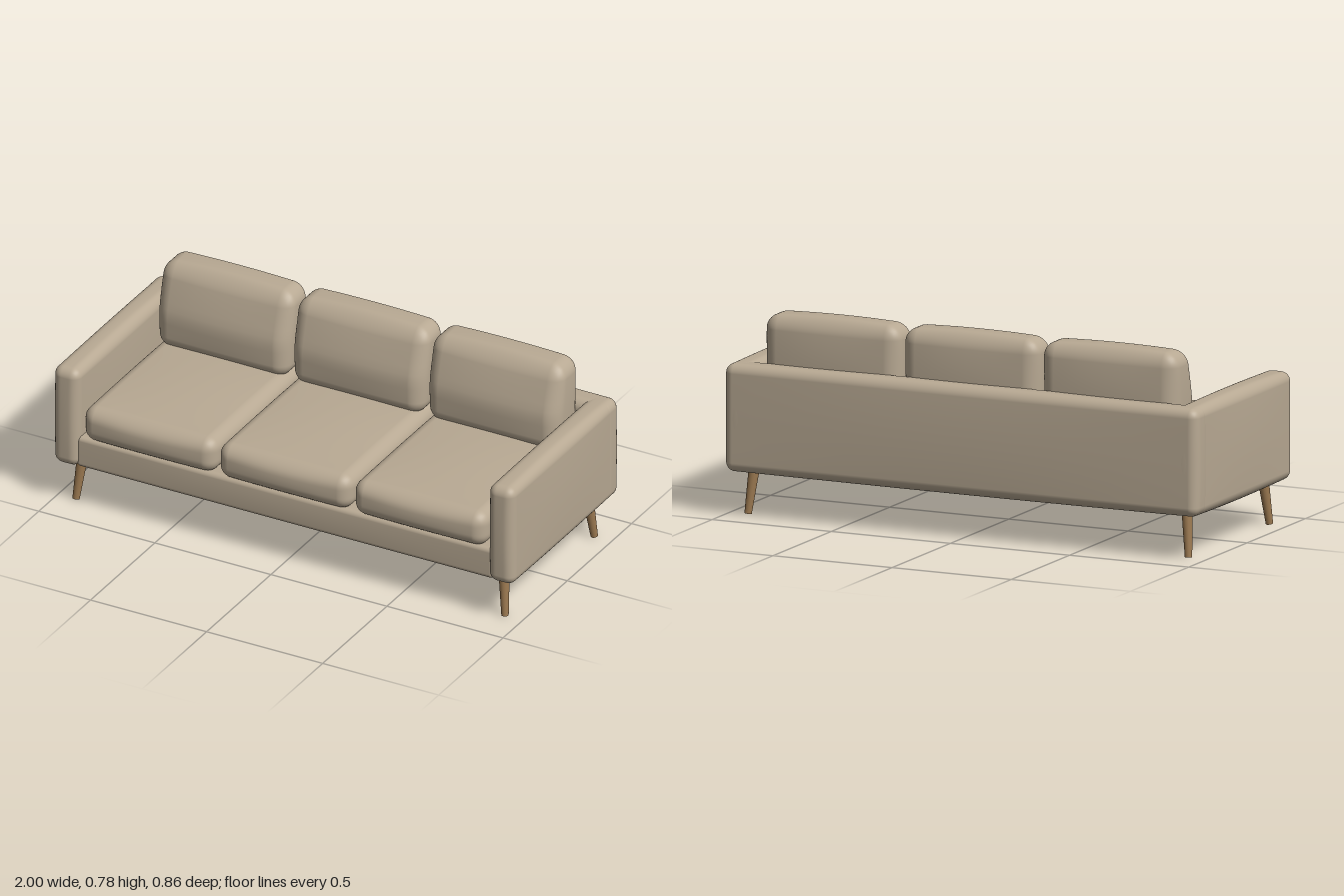
import * as THREE from 'three';
import { mergeVertices } from 'three/addons/utils/BufferGeometryUtils.js';

const fabric = new THREE.MeshStandardMaterial({ color: 0xb8a993 });
fabric.name = 'beige fabric';
const wood = new THREE.MeshStandardMaterial({ color: 0x9a7850 });
wood.name = 'oak wood';

const CORNER = 5, MIDDLE = 8, SEGMENTS = CORNER * 2 + MIDDLE;

// Places grid line i so that the rounded zones at both ends get fine steps
function gridLine(i, half, r) {
  const inner = half - r;
  if (i < CORNER) return -inner - r * Math.tan((1 - i / CORNER) * Math.PI / 4);
  if (i > CORNER + MIDDLE) return -gridLine(SEGMENTS - i, half, r);
  return inner * ((i - CORNER) / MIDDLE * 2 - 1);
}

// Soft upholstered block: rounded edges, faces bulging by puff = [x, y, z];
// an optional shape rule adjusts each point afterwards
function softBlock(name, min, max, r, puff, shape) {
  const half = max.map((m, a) => (m - min[a]) / 2);
  const centre = max.map((m, a) => (m + min[a]) / 2);
  let geo = new THREE.BoxGeometry(1, 1, 1, SEGMENTS, SEGMENTS, SEGMENTS);
  geo.deleteAttribute('uv');
  geo.deleteAttribute('normal');
  geo = mergeVertices(geo);
  const pos = geo.attributes.position;
  const p = new THREE.Vector3(), q = new THREE.Vector3(), inner = new THREE.Vector3(...half).subScalar(r);
  for (let i = 0; i < pos.count; i++) {
    p.fromBufferAttribute(pos, i);
    p.set(...p.toArray().map((v, a) => gridLine(Math.round((v + 0.5) * SEGMENTS), half[a], r)));
    q.copy(p).clamp(inner.clone().negate(), inner);
    p.sub(q).setLength(r).add(q);
    const u = p.toArray().map((v, a) => v / half[a]);
    const f = u.map(v => Math.max(0, 1 - v * v));
    p.x += puff[0] * u[0] * f[1] * f[2];
    p.y += puff[1] * u[1] * f[0] * f[2];
    p.z += puff[2] * u[2] * f[0] * f[1];
    if (shape) shape(p, u);
    pos.setXYZ(i, p.x, p.y, p.z);
  }
  geo.computeVertexNormals();
  const mesh = new THREE.Mesh(geo, fabric);
  mesh.name = name;
  mesh.position.set(...centre);
  return mesh;
}

// Tapered leg splayed outward towards its corner
function leg(name, sx, sz) {
  const top = new THREE.Vector3(sx * 0.907, 0.19, sz * 0.324);
  const foot = new THREE.Vector3(sx * 0.924, 0.002, sz * 0.347);
  const axis = top.clone().sub(foot);
  const mesh = new THREE.Mesh(new THREE.CylinderGeometry(0.022, 0.014, axis.length(), 20), wood);
  mesh.position.copy(top).add(foot).multiplyScalar(0.5);
  mesh.quaternion.setFromUnitVectors(new THREE.Vector3(0, 1, 0), axis.normalize());
  mesh.name = name;
  return mesh;
}

export function createModel() {
  const sofa = new THREE.Group();
  sofa.name = 'sofa';

  // Frame: base, back panel and arms
  sofa.add(softBlock('base', [-0.9, 0.17, -0.40], [0.9, 0.30, 0.395], 0.018, [0, 0.005, 0.004]));
  sofa.add(softBlock('backPanel', [-0.992, 0.17, -0.422], [0.992, 0.586, -0.315], 0.036, [0.004, 0.004, 0.008]));
  for (const s of [1, -1]) {
    const x = [s * 0.882, s * 0.992].sort((a, b) => a - b);
    sofa.add(softBlock(s > 0 ? 'leftArm' : 'rightArm',
      [x[0], 0.17, -0.418], [x[1], 0.585, 0.412], 0.036, [0.006, 0.008, 0.005]));
  }

  // Three seat cushions and three wedge-shaped back cushions
  ['right', 'middle', 'left'].forEach((side, i) => {
    const x = (i - 1) * 0.582;
    sofa.add(softBlock(side + 'SeatCushion',
      [x - 0.284, 0.296, -0.32], [x + 0.284, 0.441, 0.412], 0.05, [0.006, 0.014, 0.016]));
    sofa.add(softBlock(side + 'BackCushion',
      [x - 0.28, 0.425, -0.345], [x + 0.28, 0.772, -0.155], 0.055, [0.007, 0.01, 0.013],
      (p, u) => { // front face leans back towards the top
        const lean = Math.max(0, u[1] + 0.1);
        p.z -= 0.045 * lean * (u[2] + 1) / 2;
      }));
  });

  // Legs at the four corners
  for (const sx of [1, -1]) for (const sz of [1, -1]) {
    sofa.add(leg((sz > 0 ? 'front' : 'back') + (sx > 0 ? 'Left' : 'Right') + 'Leg', sx, sz));
  }
  return sofa;
}
